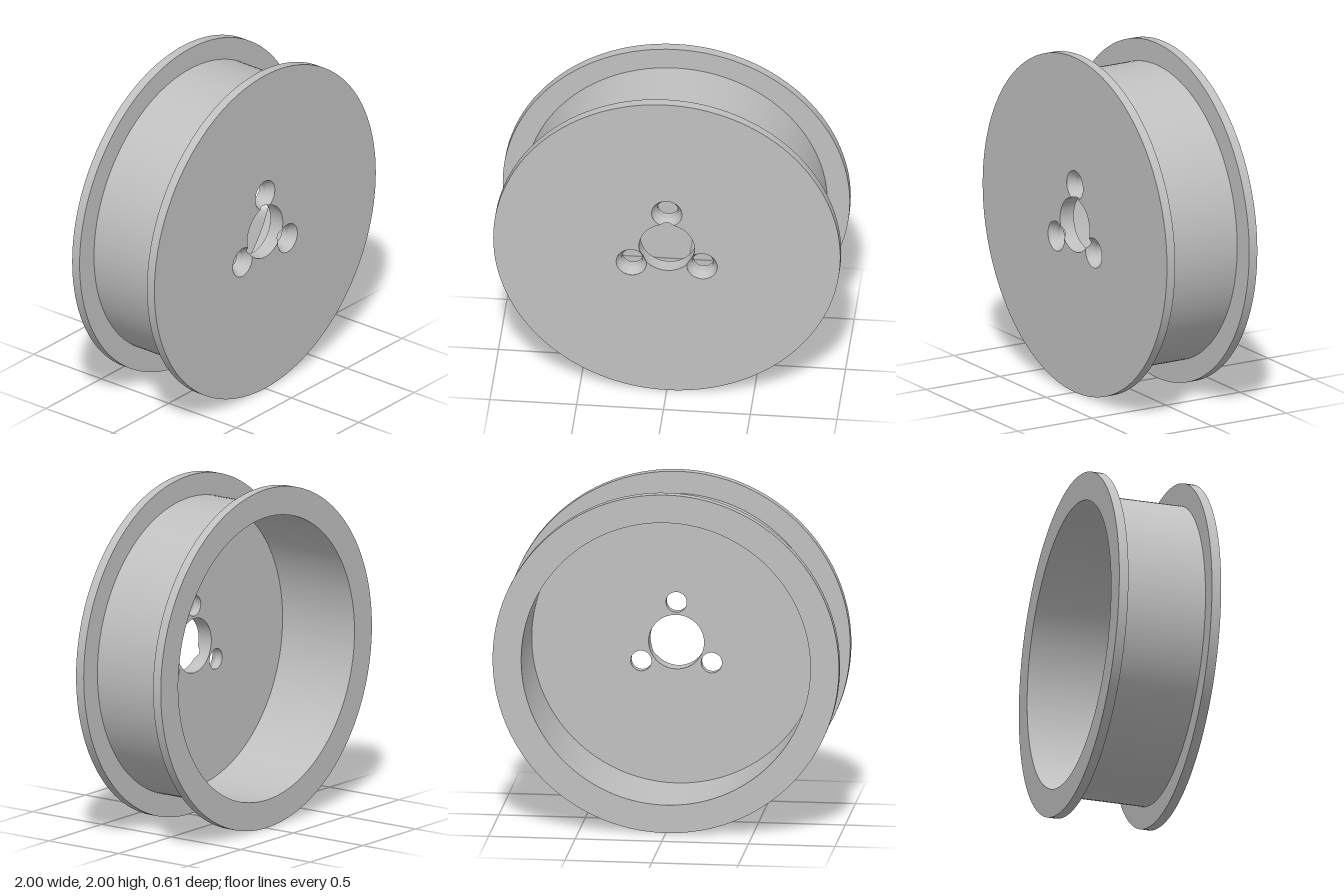
import * as THREE from 'three';
import { mergeGeometries } from 'three/addons/utils/BufferGeometryUtils.js';

const FRONT = 0.305, FLOOR = 0.213;           // faces of the web plate
const BORE = 0.16, BOLT_CIRCLE = 0.235;
const BOLT = 0.06, SINK = 0.088, SINK_DEPTH = 0.045;
const bolts = [0, 1, 2].map(i => Math.PI / 2 + i * Math.PI * 2 / 3);
const boltCentre = a => new THREE.Vector2(Math.cos(a), Math.sin(a)).multiplyScalar(BOLT_CIRCLE);

// height of the countersink cone at distance r from its bolt axis
const coneZ = r => FRONT - SINK_DEPTH * (SINK - r) / (SINK - BOLT);

// turn a [radius, z] profile about z, keeping every corner sharp
function turned(profile, segments) {
  const bands = [];
  for (let i = 1; i < profile.length; i++) {
    const pair = [profile[i - 1], profile[i]].map(p => new THREE.Vector2(...p));
    bands.push(new THREE.LatheGeometry(pair, segments).rotateX(Math.PI / 2));
  }
  return mergeGeometries(bands);
}

function circle(x, y, r) {
  return new THREE.Path().absarc(x, y, r, 0, Math.PI * 2, false);
}

function disc(r) {
  return new THREE.Shape().absarc(0, 0, r, 0, Math.PI * 2, false);
}

export function createModel() {
  const wheel = new THREE.Group();
  wheel.name = 'wheelRim';
  const metal = new THREE.MeshStandardMaterial({ color: 0xc0c0c0 });
  metal.name = 'grey metal';
  const add = (name, geometry) => {
    const mesh = new THREE.Mesh(geometry, metal);
    mesh.name = name;
    wheel.add(mesh);
    return mesh;
  };

  // drum wall with both flanges
  add('flangedDrum', turned([
    [0.835, FLOOR], [0.835, -FRONT], [1, -FRONT], [1, -0.25],
    [0.87, -0.25], [0.87, 0.25], [1, 0.25], [1, FRONT],
  ], 128));

  // front face: its opening joins the bore and the countersinks in one outline
  const alpha = Math.acos((BORE ** 2 + BOLT_CIRCLE ** 2 - SINK ** 2) / (2 * BORE * BOLT_CIRCLE));
  const beta = Math.acos((BOLT_CIRCLE ** 2 + SINK ** 2 - BORE ** 2) / (2 * BOLT_CIRCLE * SINK));
  const opening = new THREE.Path();
  for (const a of bolts) {
    const c = boltCentre(a);
    opening.absarc(c.x, c.y, SINK, a - Math.PI + beta, a + Math.PI - beta, false);
    opening.absarc(0, 0, BORE, a + alpha, a + Math.PI * 2 / 3 - alpha, false);
  }
  const face = disc(1);
  face.holes.push(opening);
  add('frontFace', new THREE.ShapeGeometry(face, 64).translate(0, 0, FRONT));

  // cavity floor, facing back
  const floor = disc(0.835);
  floor.holes.push(circle(0, 0, BORE));
  for (const a of bolts) {
    const c = boltCentre(a);
    floor.holes.push(circle(-c.x, c.y, BOLT));
  }
  add('cavityFloor', new THREE.ShapeGeometry(floor, 64).rotateY(Math.PI).translate(0, 0, FLOOR));

  // centre bore, its front edge dipping where a countersink cuts in
  const bore = turned([[BORE, FRONT], [BORE, FLOOR]], 192);
  const bp = bore.attributes.position;
  for (let i = 0; i < bp.count; i++) {
    if (bp.getZ(i) < FRONT - 0.001) continue;
    const p = new THREE.Vector2(bp.getX(i), bp.getY(i));
    const near = Math.min(...bolts.map(a => p.distanceTo(boltCentre(a))));
    if (near < SINK) bp.setZ(i, coneZ(near));
  }
  add('centreBore', bore);

  // countersunk bolt holes, each cone trimmed where it meets the bore
  for (const a of bolts) {
    const c = boltCentre(a);
    const hole = turned([[SINK, FRONT], [BOLT, FRONT - SINK_DEPTH], [BOLT, FLOOR]], 64);
    const hp = hole.attributes.position;
    for (let i = 0; i < hp.count; i++) {
      if (hp.getZ(i) < FRONT - 0.001) continue;
      const u = new THREE.Vector2(hp.getX(i), hp.getY(i)).normalize();
      const along = c.dot(u);
      const root = along ** 2 - BOLT_CIRCLE ** 2 + BORE ** 2;
      if (along >= 0 || root <= 0) continue;
      const r = Math.min(SINK, -along - Math.sqrt(root));
      hp.setXYZ(i, u.x * r, u.y * r, coneZ(r));
    }
    add('boltHole', hole).position.set(c.x, c.y, 0);
  }

  wheel.position.y = 1;
  return wheel;
}
